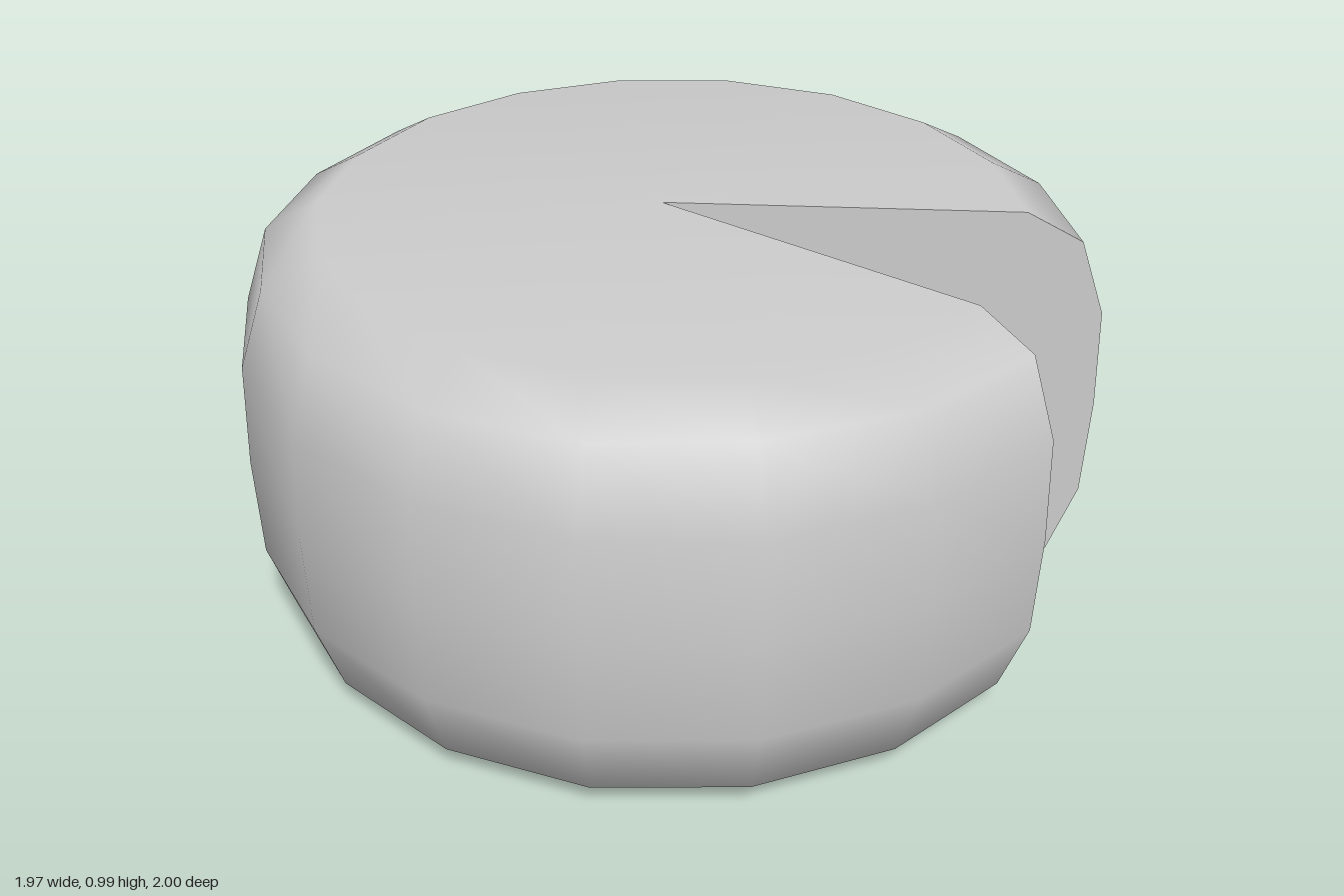
import * as THREE from 'three';

// Half outline of the wheel seen from above, from the cut round to the back (x, z)
const HALF = [[0.982, 0.306], [0.812, 0.625], [0.542, 0.866], [0.204, 0.998], [-0.156, 0.998],
  [-0.492, 0.872], [-0.756, 0.645], [-0.929, 0.346], [-0.986, 0]];
// Rounded side profile: outline scale and height
const PROFILE = [[0.802, 0], [0.93, 0.07], [0.991, 0.25], [1, 0.493], [0.991, 0.736], [0.93, 0.916], [0.802, 0.986]];
const TOP = 0.986, APEX = -0.005;

function makeGeometry(positions, indices) {
  const g = new THREE.BufferGeometry();
  g.setAttribute('position', new THREE.Float32BufferAttribute(positions.flat(), 3));
  g.setIndex(indices);
  g.computeVertexNormals();
  return g;
}

export function createModel() {
  const group = new THREE.Group();
  const grey = new THREE.MeshStandardMaterial({ color: 0xcccccc });
  grey.name = 'light grey';

  const outline = [...HALF, ...HALF.slice(0, -1).reverse().map(([x, z]) => [x, -z])];
  const n = outline.length;
  const rings = PROFILE.map(([s, y]) => outline.map(([x, z]) => [APEX + (x - APEX) * s, y, z * s]));

  const add = (name, geometry) => {
    const mesh = new THREE.Mesh(geometry, grey);
    mesh.name = name;
    group.add(mesh);
  };

  // Smooth rounded body with flat top and bottom meeting at the apex of the cut
  const points = [...rings.flat(), [APEX, 0, 0], [APEX, TOP, 0]];
  const bottom = rings.length * n, top = bottom + 1, last = (rings.length - 1) * n;
  const faces = [];
  for (let j = 0; j < n - 1; j++) {
    for (let r = 0; r < rings.length - 1; r++) {
      const a = r * n + j, b = a + 1, c = a + n, d = c + 1;
      faces.push(a, c, d, a, d, b);
    }
    faces.push(bottom, j, j + 1, top, last + j + 1, last + j);
  }
  add('roundBody', makeGeometry(points, faces));

  // Flat faces of the missing wedge
  for (const [name, j, flip] of [['leftCutFace', 0, true], ['rightCutFace', n - 1, false]]) {
    const face = [[APEX, 0, 0], ...rings.map((ring) => ring[j]), [APEX, TOP, 0]];
    const tris = [];
    for (let i = 1; i < face.length - 1; i++) tris.push(0, ...(flip ? [i + 1, i] : [i, i + 1]));
    add(name, makeGeometry(face, tris));
  }
  return group;
}
